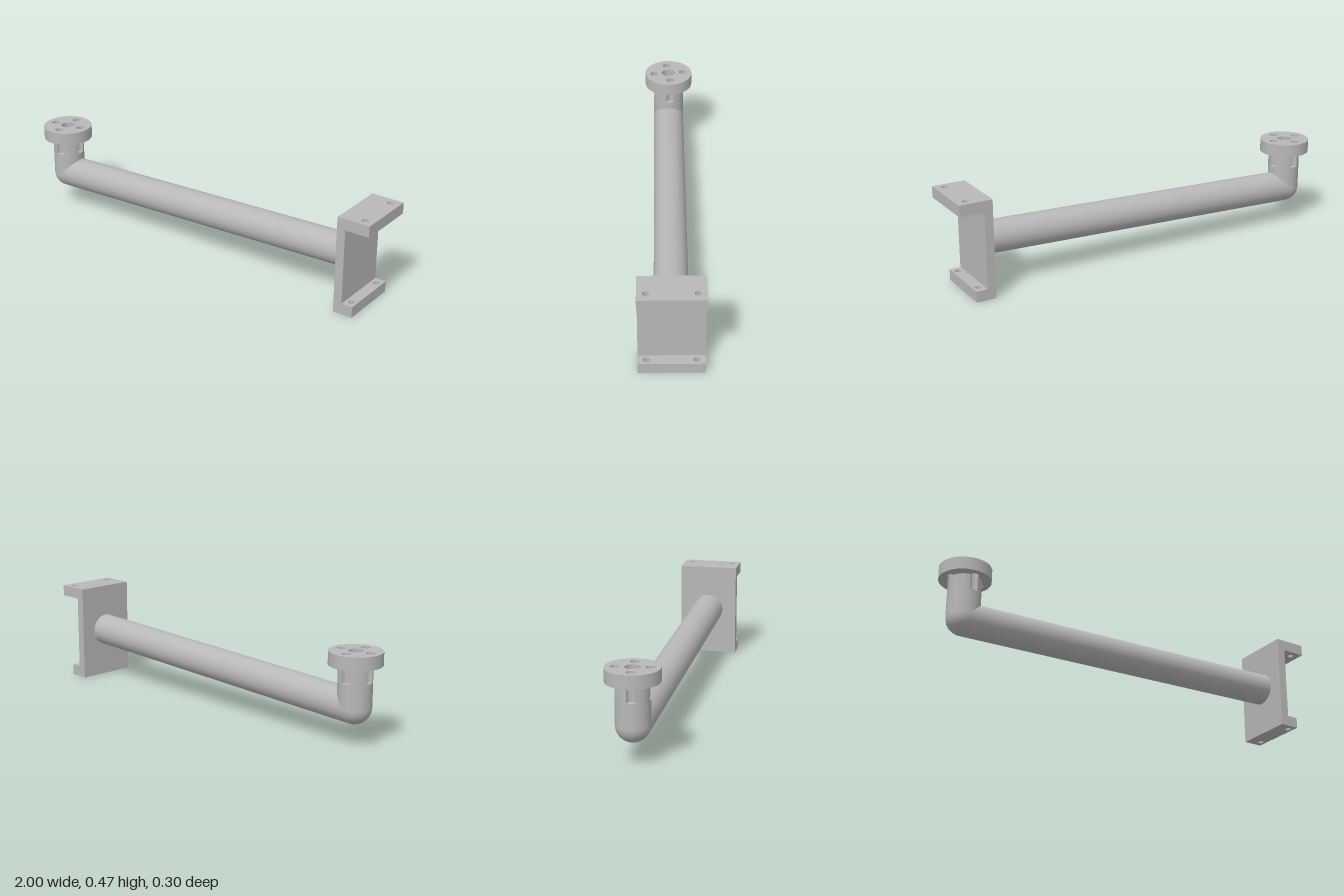
import * as THREE from 'three';
import { toCreasedNormals } from 'three/addons/utils/BufferGeometryUtils.js';

const TUBE_R = 0.078;
const BOLT_R = 0.02;
const BOLT_CIRCLE = 0.0755;
const BOLT_TURN = THREE.MathUtils.degToRad(7);
const CENTRE_R = 0.034;
const JOINT = new THREE.Vector3(-0.878, 0.182, 0);

export function createModel() {
  const group = new THREE.Group();
  const grey = new THREE.MeshStandardMaterial({ color: 0xb8b8b8 });
  grey.name = 'plain grey metal';

  const add = (name, geometry, x = 0, y = 0, z = 0) => {
    const mesh = new THREE.Mesh(geometry, grey);
    mesh.name = name;
    mesh.position.set(x, y, z);
    group.add(mesh);
    return mesh;
  };

  const punch = (shape, x, y, r) => {
    const hole = new THREE.Path();
    hole.absarc(x, y, r, 0, Math.PI * 2, true);
    shape.holes.push(hole);
  };

  // Extrude a plan outline upwards, with smooth curves and sharp edges
  const raise = (shape, height) => {
    const g = new THREE.ExtrudeGeometry(shape, { depth: height, bevelEnabled: false, curveSegments: 24 });
    g.rotateX(-Math.PI / 2);
    return toCreasedNormals(g, 0.6);
  };

  // Round mounting flange with a bolt circle
  const disc = new THREE.Shape();
  disc.absarc(0, 0, 0.122, 0, Math.PI * 2, false);
  punch(disc, 0, 0, CENTRE_R);
  for (let i = 0; i < 4; i++) {
    const a = BOLT_TURN + i * Math.PI / 2;
    punch(disc, Math.cos(a) * BOLT_CIRCLE, Math.sin(a) * BOLT_CIRCLE, BOLT_R);
  }
  add('mountingFlange', raise(disc, 0.062), JOINT.x, 0.375, 0);

  // Neck below the flange, with the bolt holes cut into its sides
  const neck = new THREE.Shape();
  const cosHalf = (TUBE_R ** 2 + BOLT_CIRCLE ** 2 - BOLT_R ** 2) / (2 * TUBE_R * BOLT_CIRCLE);
  const half = Math.acos(cosHalf);
  const bite = Math.atan2(TUBE_R * Math.sin(half), TUBE_R * cosHalf - BOLT_CIRCLE);
  for (let i = 0; i < 4; i++) {
    const a = BOLT_TURN + i * Math.PI / 2;
    neck.absarc(Math.cos(a) * BOLT_CIRCLE, Math.sin(a) * BOLT_CIRCLE, BOLT_R, a - bite, a + bite, true);
    neck.absarc(0, 0, TUBE_R, a + half, a + Math.PI / 2 - half, false);
  }
  punch(neck, 0, 0, CENTRE_R);
  add('notchedNeck', raise(neck, 0.075), JOINT.x, 0.3, 0);

  // Upright tube and rounded elbow
  const uprightH = 0.3 - JOINT.y;
  add('uprightTube', new THREE.CylinderGeometry(TUBE_R, TUBE_R, uprightH, 64), JOINT.x, JOINT.y + uprightH / 2, 0);
  add('elbow', new THREE.SphereGeometry(TUBE_R - 0.0002, 64, 32), JOINT.x, JOINT.y, 0);

  // Long arm rising gently to the bracket
  const armEnd = new THREE.Vector3(0.855, 0.241, 0);
  const along = armEnd.clone().sub(JOINT);
  const arm = add('arm', new THREE.CylinderGeometry(TUBE_R, TUBE_R, along.length(), 64));
  arm.position.copy(JOINT).add(armEnd).multiplyScalar(0.5);
  arm.quaternion.setFromUnitVectors(new THREE.Vector3(0, 1, 0), along.normalize());

  // Channel bracket: web between two drilled flanges
  const plate = (name, xEnd, y, height, holeX) => {
    const s = new THREE.Shape();
    s.moveTo(0.84, -0.15).lineTo(xEnd, -0.15).lineTo(xEnd, 0.15).lineTo(0.84, 0.15).closePath();
    for (const side of [-1, 1]) punch(s, holeX, side * 0.11, 0.015);
    add(name, raise(s, height), 0, y, 0);
  };
  plate('bracketTop', 1, 0.42, 0.054, 0.955);
  plate('bracketFoot', 0.937, 0, 0.053, 0.91);
  add('bracketWeb', new THREE.BoxGeometry(0.042, 0.367, 0.3), 0.861, 0.2365, 0);

  return group;
}
